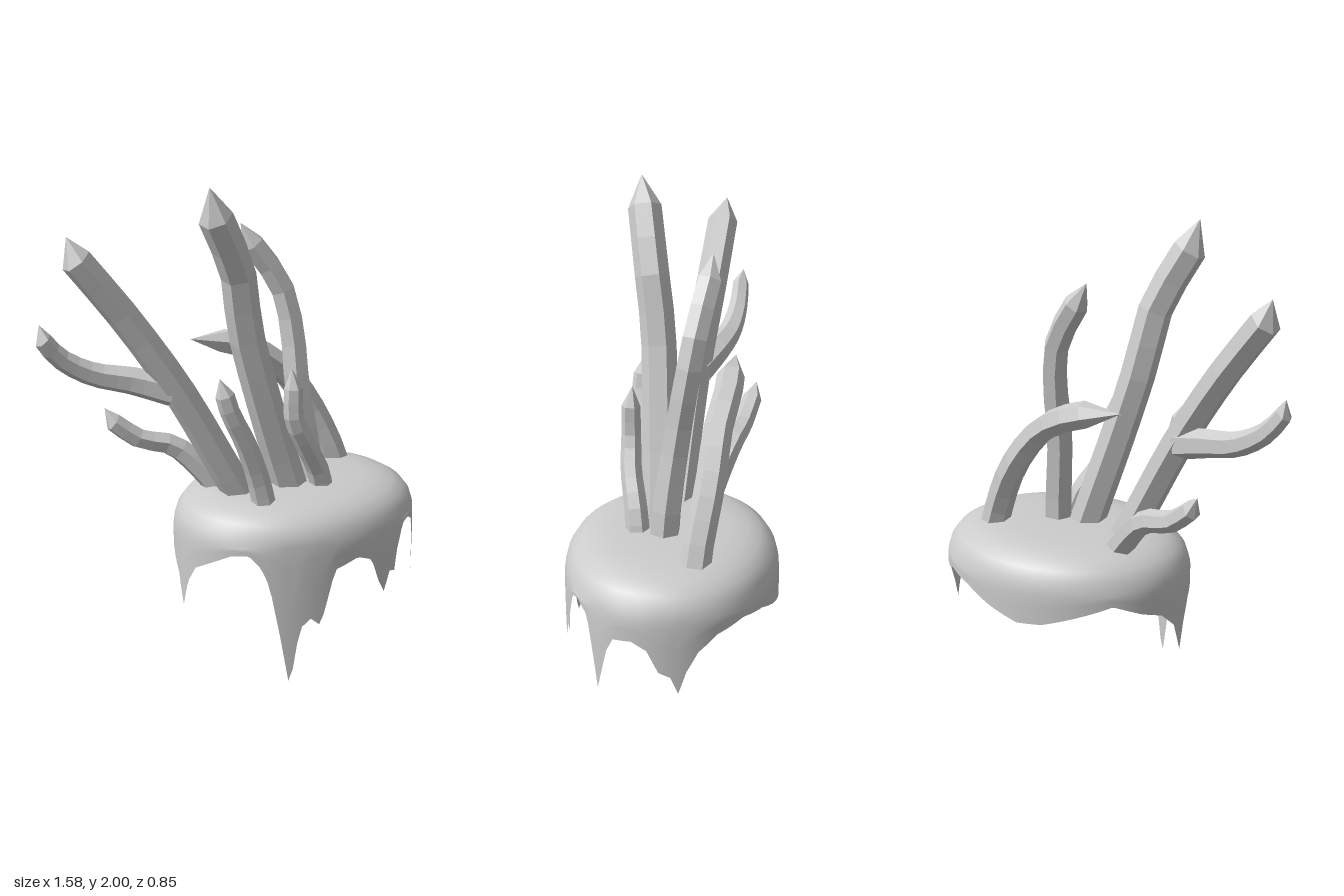
import * as THREE from 'three';

const shellMat = new THREE.MeshStandardMaterial({ color: 0xcccccc, side: THREE.DoubleSide });
const stalkMat = new THREE.MeshStandardMaterial({ color: 0xcccccc, flatShading: true });

// Hem height of the dripping shell: [degrees from +x toward +z, y]
const hem = [
  [-10, 0.28], [-6, 0.35], [0, 0.37], [6, 0.46], [14, 0.49], [24, 0.48], [28, 0.42], [32, 0.3], [34, 0.24],
  [37, 0.38], [41, 0.53], [49, 0.57], [55, 0.56], [60, 0.46], [62, 0.37], [66, 0.38], [70, 0.3], [74, 0.36],
  [79, 0.47], [87, 0.5], [98, 0.47], [101, 0.4], [103, 0.3], [106, 0.24], [110, 0.27], [115, 0.23], [118, 0.05],
  [120, 0], [124, 0.2], [129, 0.42], [133, 0.5], [139, 0.55], [148, 0.54], [158, 0.5], [170, 0.45], [177, 0.37],
  [182, 0.25], [188, 0.38], [198, 0.45], [210, 0.48], [225, 0.53], [240, 0.49], [258, 0.44], [270, 0.43],
  [285, 0.47], [300, 0.52], [315, 0.54], [330, 0.51], [340, 0.45], [346, 0.37], [350, 0.28],
];

function hemAt(deg) {
  const d = deg >= 350 ? deg - 360 : deg;
  const i = hem.findIndex((h) => h[0] > d);
  const [a0, y0] = hem[i - 1], [a1, y1] = hem[i];
  return THREE.MathUtils.lerp(y0, y1, (d - a0) / (a1 - a0));
}

// Flattened dome whose open lower edge follows the hem
function makeShell() {
  const profile = [[0, 0.722], [0.3, 0.722], [0.55, 0.718], [0.7, 0.708], [0.82, 0.69], [0.91, 0.662], [0.965, 0.625], [0.99, 0.585]];
  const cols = 180, wall = 6, pos = [], index = [];
  const rows = profile.length + wall;
  for (let r = 0; r < rows; r++) {
    for (let c = 0; c < cols; c++) {
      const deg = (c * 360) / cols, a = THREE.MathUtils.degToRad(deg);
      const bulge = 1 + 0.02 * Math.max(0, Math.cos(a)) * Math.sin(2 * a) ** 2;
      let k, y;
      if (r < profile.length) [k, y] = profile[r];
      else {
        const t = (r - profile.length + 1) / wall;
        k = 0.99 + 0.01 * Math.min(1, t * 3);
        y = THREE.MathUtils.lerp(0.585, hemAt(deg), t);
      }
      pos.push(0.257 + 0.53 * k * bulge * Math.cos(a), y, 0.425 * k * bulge * Math.sin(a));
      if (r < rows - 1) {
        const p = r * cols + c, q = r * cols + ((c + 1) % cols);
        if (r > 0) index.push(p, q, q + cols);
        index.push(p, q + cols, p + cols);
      }
    }
  }
  const geo = new THREE.BufferGeometry();
  geo.setAttribute('position', new THREE.Float32BufferAttribute(pos, 3));
  geo.setIndex(index);
  geo.computeVertexNormals();
  const mesh = new THREE.Mesh(geo, shellMat);
  mesh.name = 'drippingShell';
  return mesh;
}

// Six-sided bent stalk; the last path point is the tip
function makeStalk(name, r0, r1, path) {
  const pts = path.map((p) => new THREE.Vector3(...p));
  const tip = pts.pop();
  const curve = new THREE.CatmullRomCurve3(pts);
  const segs = 10, sides = 6, pos = [], index = [];
  const { normals, binormals } = curve.computeFrenetFrames(segs);
  for (let s = 0; s <= segs; s++) {
    const centre = curve.getPointAt(s / segs), rad = THREE.MathUtils.lerp(r0, r1, s / segs);
    for (let k = 0; k < sides; k++) {
      const a = (k / sides) * Math.PI * 2;
      const v = centre.clone().addScaledVector(normals[s], rad * Math.cos(a)).addScaledVector(binormals[s], rad * Math.sin(a));
      pos.push(v.x, v.y, v.z);
      const p = s * sides + k, q = s * sides + ((k + 1) % sides);
      if (s < segs) index.push(p, q, q + sides, p, q + sides, p + sides);
    }
  }
  const tipId = (segs + 1) * sides, top = segs * sides;
  pos.push(tip.x, tip.y, tip.z, pts[0].x, pts[0].y, pts[0].z);
  for (let k = 0; k < sides; k++) {
    const n = (k + 1) % sides;
    index.push(top + k, top + n, tipId, n, k, tipId + 1);
  }
  const geo = new THREE.BufferGeometry();
  geo.setAttribute('position', new THREE.Float32BufferAttribute(pos, 3));
  geo.setIndex(index);
  geo.computeVertexNormals();
  const mesh = new THREE.Mesh(geo, stalkMat);
  mesh.name = name;
  return mesh;
}

export function createModel() {
  const model = new THREE.Group();
  model.name = 'stalkCluster';
  model.add(
    makeShell(),
    makeStalk('tallStalk', 0.075, 0.067, [[0.24, 0.58, 0.055], [0.17, 0.78, 0.055], [0.05, 1.13, 0.07], [-0.04, 1.42, 0.085], [-0.09, 1.65, 0.115], [-0.21, 1.88, 0.155], [-0.245, 2, 0.17]]),
    makeStalk('leaningStalk', 0.07, 0.062, [[0.07, 0.55, 0.02], [-0.06, 0.78, 0], [-0.27, 1.17, -0.04], [-0.47, 1.48, -0.09], [-0.65, 1.72, -0.125], [-0.68, 1.81, -0.14]]),
    makeStalk('leaningStalkBranch', 0.065, 0.035, [[-0.29, 1.17, -0.05], [-0.43, 1.215, -0.12], [-0.58, 1.255, -0.17], [-0.7, 1.33, -0.195], [-0.765, 1.41, -0.2], [-0.775, 1.47, -0.21]]),
    makeStalk('frontRightStalk', 0.05, 0.038, [[0.02, 0.62, 0.16], [-0.02, 0.8, 0.16], [-0.09, 0.98, 0.17], [-0.16, 1.12, 0.17], [-0.18, 1.19, 0.165], [-0.2, 1.26, 0.16]]),
    makeStalk('backRightStalk', 0.058, 0.04, [[0, 0.63, -0.09], [-0.11, 0.78, -0.15], [-0.21, 0.88, -0.2], [-0.34, 0.92, -0.24], [-0.44, 1.0, -0.275], [-0.47, 1.06, -0.29]]),
    makeStalk('frontLeftStalk', 0.05, 0.037, [[0.32, 0.62, 0.125], [0.28, 0.78, 0.14], [0.19, 0.93, 0.17], [0.135, 1.04, 0.175], [0.13, 1.17, 0.175], [0.125, 1.25, 0.17]]),
    makeStalk('curvedStalk', 0.065, 0.05, [[0.32, 0.58, 0.03], [0.315, 0.78, 0.02], [0.28, 1.1, -0.02], [0.275, 1.35, -0.06], [0.24, 1.52, -0.09], [0.13, 1.69, -0.13], [0.08, 1.78, -0.14]]),
    makeStalk('backLeftStalk', 0.06, 0.055, [[0.57, 0.6, -0.11], [0.53, 0.74, -0.12], [0.42, 0.98, -0.16], [0.28, 1.16, -0.18], [0.16, 1.24, -0.205], [0.05, 1.28, -0.21], [-0.11, 1.31, -0.22]]),
  );
  return model;
}
